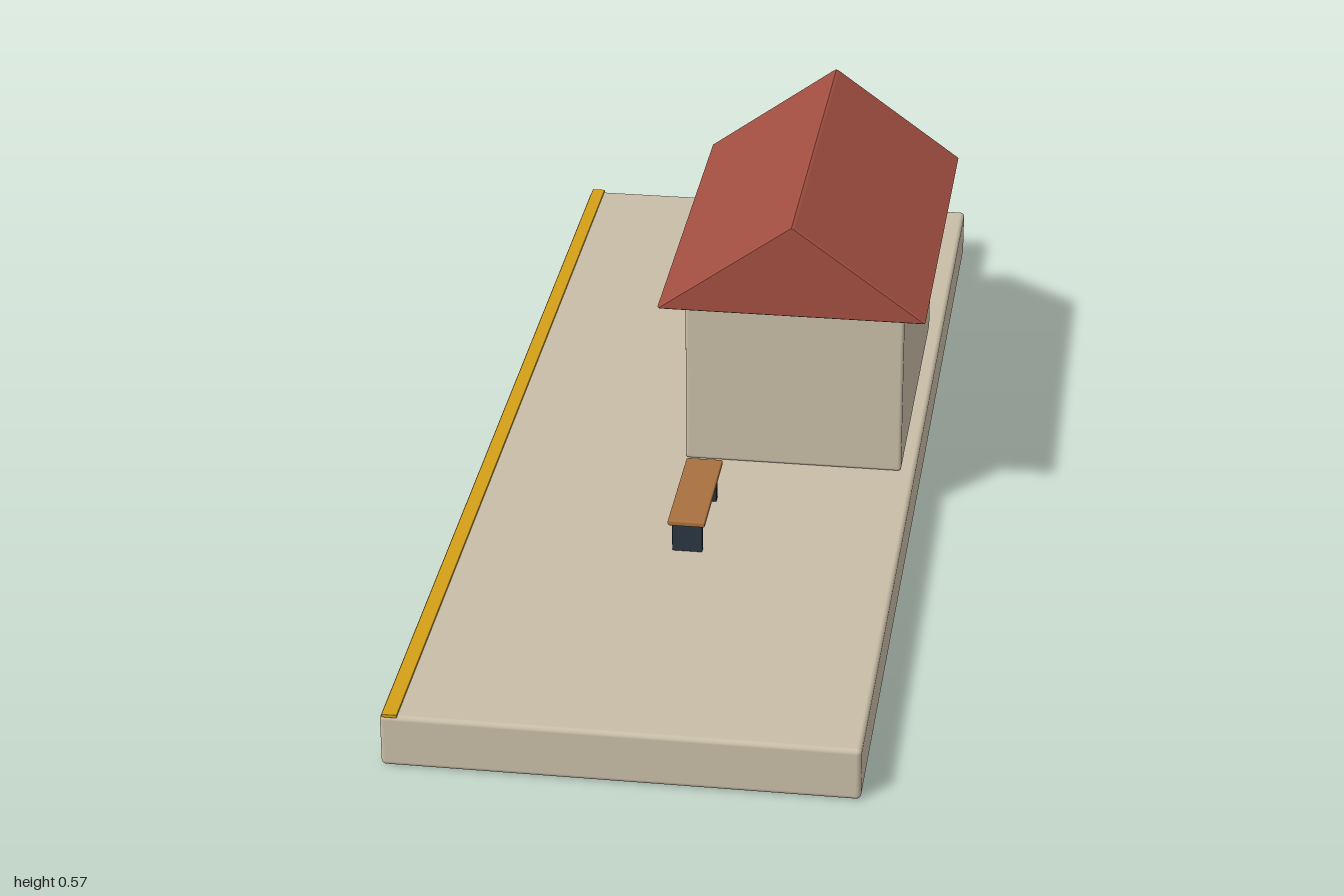
import * as THREE from 'three';
import { RoundedBoxGeometry } from 'three/addons/geometries/RoundedBoxGeometry.js';

function material(name, color) {
  const m = new THREE.MeshStandardMaterial({ color });
  m.name = name;
  return m;
}

export function createModel() {
  const model = new THREE.Group();
  model.name = 'stationPlatform';

  const stone = material('stone', 0xc8bda6);
  const roofRed = material('roofRed', 0xa34f41);
  const wood = material('wood', 0xa9713f);
  const iron = material('darkIron', 0x2b3640);
  const yellow = material('safetyYellow', 0xd4a017);

  // Soft-edged box given by its min and max on each axis
  function box(name, mat, [x0, x1], [y0, y1], [z0, z1], radius, parent = model) {
    const geo = new RoundedBoxGeometry(x1 - x0, y1 - y0, z1 - z0, 3, radius);
    const mesh = new THREE.Mesh(geo, mat);
    mesh.name = name;
    mesh.position.set((x0 + x1) / 2, (y0 + y1) / 2, (z0 + z1) / 2);
    parent.add(mesh);
    return mesh;
  }

  const deck = 0.089;

  // Platform slab and safety line along its track edge
  box('platform', stone, [-0.381, 0.365], [0, deck], [-1, 1], 0.008);
  box('safetyLine', yellow, [-0.377, -0.353], [deck - 0.002, 0.0925], [-1, 1], 0.001);

  // Building
  const house = new THREE.Group();
  house.name = 'stationHouse';
  model.add(house);
  box('walls', stone, [-0.033, 0.341], [deck, 0.403], [-0.472, 0.1], 0.006, house);
  box('door', wood, [-0.041, -0.031], [deck, 0.276], [-0.118, -0.001], 0.002, house);
  for (const z of [-0.382, -0.254]) {
    box('window', stone, [-0.041, -0.031], [0.175, 0.301], [z - 0.055, z + 0.055], 0.003, house);
  }

  // Gable roof with slightly blunted ridge and eaves
  const gable = new THREE.Shape([
    [-0.069, 0.402], [0.379, 0.402], [0.381, 0.405],
    [0.159, 0.565], [0.1545, 0.567], [0.15, 0.565], [-0.072, 0.405],
  ].map(([x, y]) => new THREE.Vector2(x, y)));
  const roofGeo = new THREE.ExtrudeGeometry(gable, {
    depth: 0.694, bevelEnabled: true, bevelThickness: 0.003,
    bevelSize: 0.002, bevelOffset: -0.002, bevelSegments: 1,
  });
  const roof = new THREE.Mesh(roofGeo, roofRed);
  roof.name = 'roof';
  roof.position.z = -0.537;
  house.add(roof);

  // Bench
  const bench = new THREE.Group();
  bench.name = 'bench';
  model.add(bench);
  box('seat', wood, [-0.015, 0.047], [0.141, 0.151], [0.212, 0.436], 0.003, bench);
  for (const z of [0.242, 0.418]) {
    box('benchLeg', iron, [-0.009, 0.041], [deck, 0.143], [z - 0.007, z + 0.007], 0.001, bench);
  }

  return model;
}
